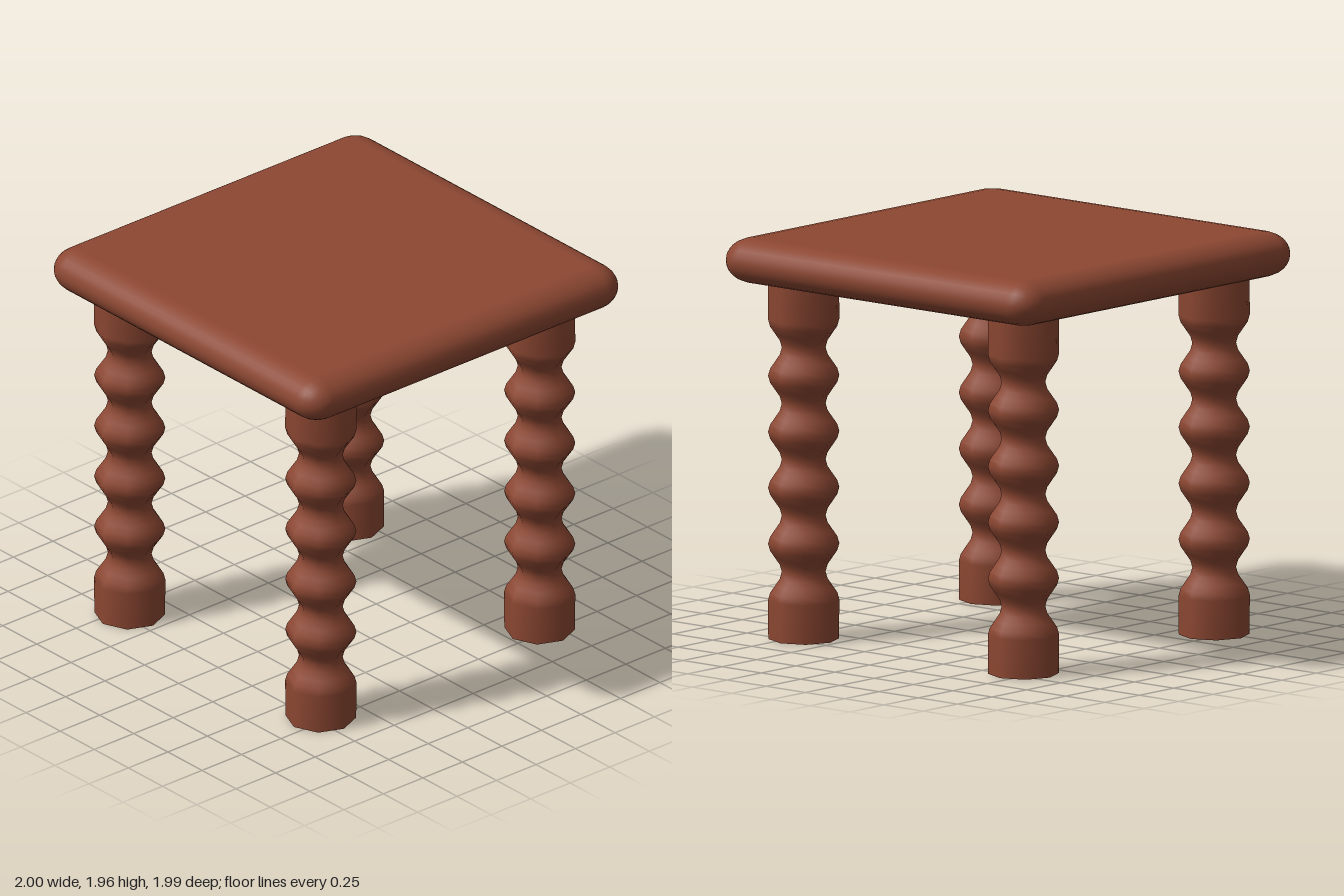
import * as THREE from 'three';
import { RoundedBoxGeometry } from 'three/addons/geometries/RoundedBoxGeometry.js';

const LEG_SIDES = 8;

// Turned leg: plain foot and head, with a wave of four beads between them
function legProfile() {
  const low = 0.19, high = 1.555, waves = 5, perWave = 8;
  const points = [new THREE.Vector2(0.17, 0)];
  for (let i = 0; i <= waves * perWave; i++) {
    const t = i / (waves * perWave);
    const r = 0.138 + 0.033 * Math.cos(t * waves * Math.PI * 2);
    points.push(new THREE.Vector2(r, low + (high - low) * t));
  }
  points.push(new THREE.Vector2(0.17, 1.77));
  return points;
}

export function createModel() {
  const wood = new THREE.MeshStandardMaterial({ color: 0x8c4732 });
  wood.name = 'reddish brown wood';
  const model = new THREE.Group();
  model.name = 'table';

  // Square top with fully rounded edges, slightly wider than they are tall
  const radius = 0.11, stretch = 0.135 / radius;
  const topGeometry = new RoundedBoxGeometry(2 / stretch, 2 * radius, 1.99 / stretch, 3, radius);
  topGeometry.scale(stretch, 1, stretch);
  const top = new THREE.Mesh(topGeometry, wood);
  top.name = 'tableTop';
  top.position.set(0, 1.85, -0.005);
  model.add(top);

  // Four legs, each closed underneath
  const legGeometry = new THREE.LatheGeometry(legProfile(), LEG_SIDES);
  const soleGeometry = new THREE.CircleGeometry(0.17, LEG_SIDES).rotateX(Math.PI / 2);
  for (const [x, side] of [[-0.705, 'Right'], [0.68, 'Left']]) {
    for (const [z, end] of [[0.7, 'front'], [-0.7, 'back']]) {
      const leg = new THREE.Group();
      leg.name = `${end}${side}Leg`;
      const shaft = new THREE.Mesh(legGeometry, wood);
      shaft.name = 'turnedShaft';
      const sole = new THREE.Mesh(soleGeometry, wood);
      sole.name = 'legSole';
      leg.add(shaft, sole);
      leg.position.set(x, 0, z);
      model.add(leg);
    }
  }
  return model;
}
